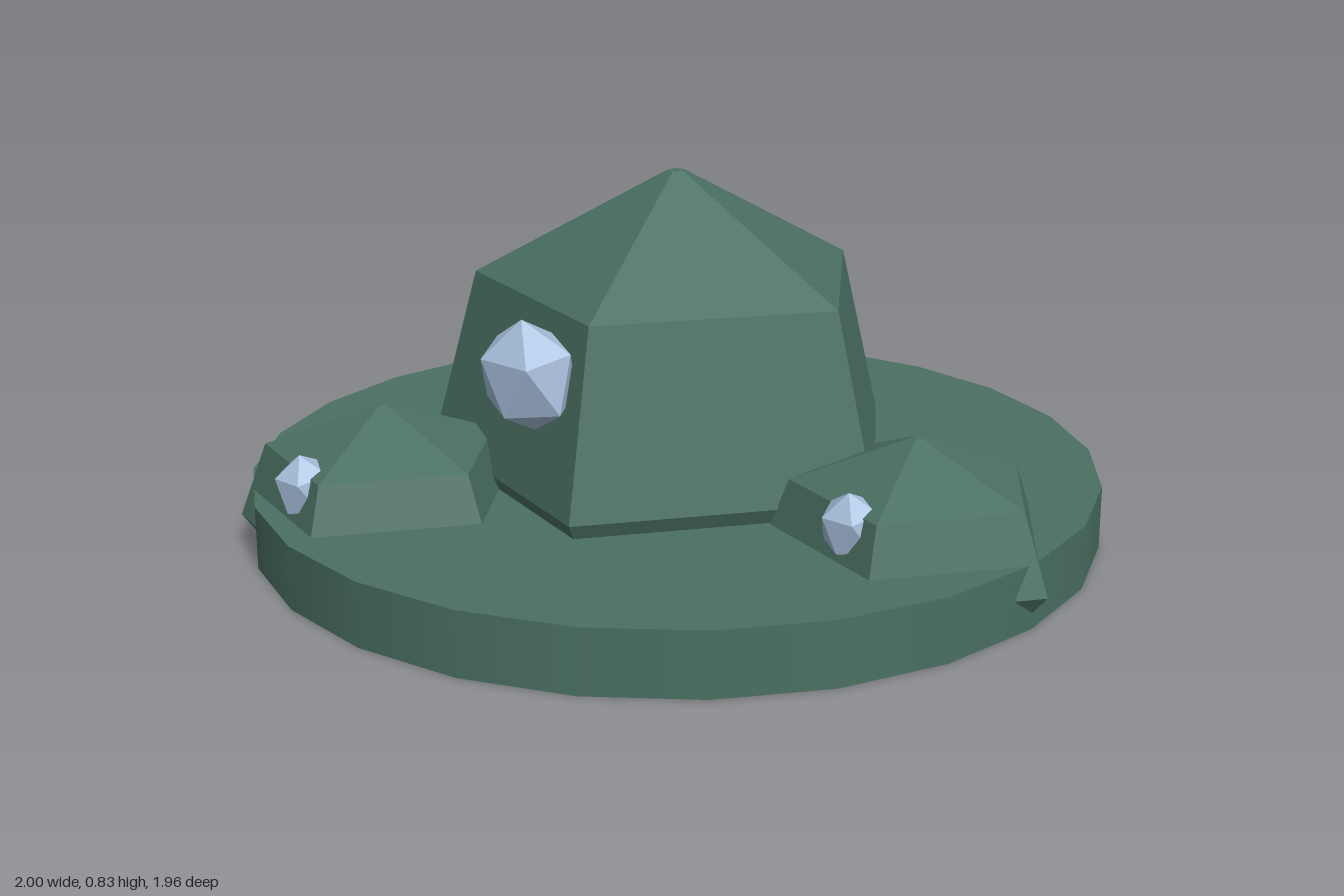
import * as THREE from 'three';

const rockGreen = new THREE.MeshStandardMaterial({ color: 0x4a7062 });
rockGreen.name = 'rock green';
const crystalBlue = new THREE.MeshStandardMaterial({ color: 0xa8c0dc });
crystalBlue.name = 'crystal blue';

// Gives every face its own normal for a faceted look
function faceted(geometry) {
  const flat = geometry.index ? geometry.toNonIndexed() : geometry;
  flat.computeVertexNormals();
  return flat;
}

// Radius and height of the mound profile, as fractions of its size
const PROFILE = [[0.85, -0.22], [1, 0], [0.81, 0.626], [0.036, 1], [0, 1]];

// Five-sided mound with one corner towards +x
function mound(name, x, y, z, radius, height) {
  const points = PROFILE.map(([r, h]) => new THREE.Vector2(r * radius, h * height));
  const mesh = new THREE.Mesh(faceted(new THREE.LatheGeometry(points, 5, Math.PI / 2)), rockGreen);
  mesh.name = name;
  mesh.position.set(x, y, z);
  return mesh;
}

// Flattened twenty-sided crystal with a triangle facing forward
function crystal(name, x, y, z, sx, sy, sz) {
  const geometry = new THREE.IcosahedronGeometry(1, 0);
  const turn = new THREE.Quaternion().setFromUnitVectors(
    new THREE.Vector3(1, 1, 1).normalize(), new THREE.Vector3(0, 0, 1));
  geometry.applyQuaternion(turn);
  geometry.rotateZ(-0.651);
  geometry.scale(sx, sy, sz);
  const mesh = new THREE.Mesh(faceted(geometry), crystalBlue);
  mesh.name = name;
  mesh.position.set(x, y, z);
  return mesh;
}

export function createModel() {
  const model = new THREE.Group();
  model.name = 'crystalMounds';

  // Round base plate
  const base = new THREE.Mesh(new THREE.CylinderGeometry(0.98, 0.98, 0.145, 24), rockGreen);
  base.name = 'base';
  base.position.set(-0.02, 0.0725, 0);
  model.add(base);

  // Large mound and three smaller ones around it
  model.add(
    mound('mainMound', -0.02, 0.18, 0, 0.572, 0.655),
    mound('leftMound', 0.66, 0.078, 0, 0.335, 0.274),
    mound('frontRightMound', -0.37, 0.078, 0.59, 0.335, 0.274),
    mound('backRightMound', -0.37, 0.11, -0.6, 0.335, 0.4),
  );

  // Crystals set into the front walls
  model.add(
    crystal('mainCrystal', -0.02, 0.463, 0.48, 0.13, 0.13, 0.093),
    crystal('leftCrystal', 0.655, 0.215, 0.222, 0.073, 0.078, 0.064),
    crystal('frontRightCrystal', -0.375, 0.215, 0.813, 0.073, 0.078, 0.064),
  );
  return model;
}
